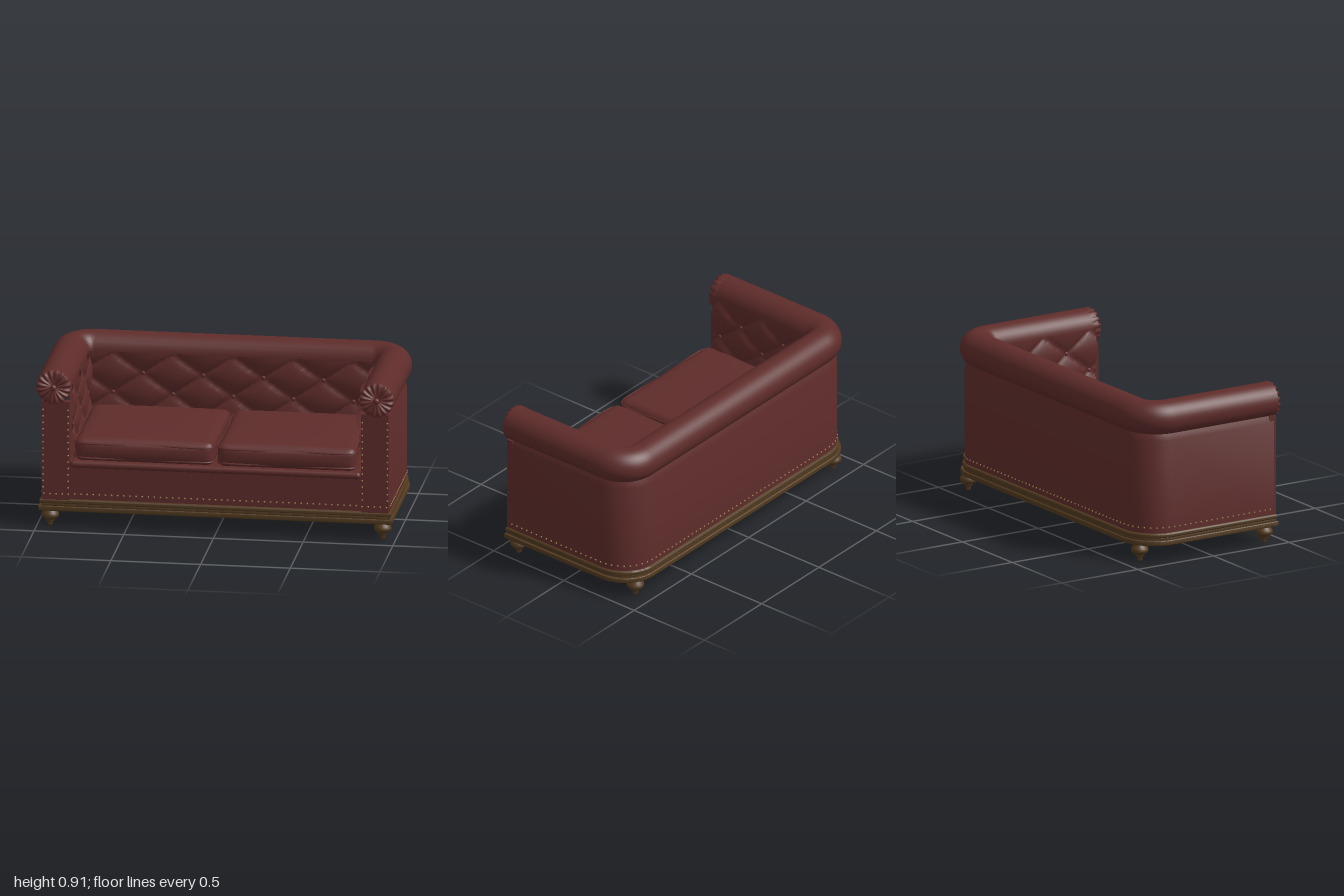
import * as THREE from 'three';
import { mergeGeometries, mergeVertices, toCreasedNormals } from 'three/addons/utils/BufferGeometryUtils.js';

const leather = new THREE.MeshStandardMaterial({ color: 0x5e2c2a });
const leatherOpen = new THREE.MeshStandardMaterial({ color: 0x5e2c2a, side: THREE.DoubleSide });
const wood = new THREE.MeshStandardMaterial({ color: 0x523a20 });
const brass = new THREE.MeshStandardMaterial({ color: 0x917a45 });

// U-shaped plan (arm, back, arm) with rounded back corners; each point carries its outward normal
function uPath(hx, zBack, zFront, r, steps = 12) {
  const pts = [{ x: hx, z: zFront, nx: 1, nz: 0 }];
  for (const side of [0, 1]) {
    for (let i = 0; i <= steps; i++) {
      const a = (side + i / steps) * Math.PI / 2;
      const nx = Math.cos(a), nz = -Math.sin(a);
      pts.push({ x: (side ? -1 : 1) * (hx - r) + r * nx, z: zBack + r + r * nz, nx, nz });
    }
  }
  pts.push({ x: -hx, z: zFront, nx: -1, nz: 0 });
  return pts;
}

// Sweep a closed counter-clockwise profile of [outward, up] along a plan path
function sweep(profile, path) {
  const pos = [], idx = [], n = profile.length;
  for (const p of path) for (const [u, v] of profile) pos.push(p.x + p.nx * u, v, p.z + p.nz * u);
  for (let i = 0; i < path.length - 1; i++) {
    for (let j = 0; j < n; j++) {
      const a = i * n + j, b = i * n + (j + 1) % n, c = a + n, d = b + n;
      idx.push(a, c, b, b, c, d);
    }
  }
  const g = new THREE.BufferGeometry();
  g.setAttribute('position', new THREE.Float32BufferAttribute(pos, 3));
  g.setIndex(idx);
  return toCreasedNormals(g, 0.6);
}

// Move every vertex by a rule, then weld and smooth
function reshape(geo, rule) {
  geo.deleteAttribute('uv');
  geo.deleteAttribute('normal');
  const p = geo.attributes.position, v = new THREE.Vector3();
  for (let i = 0; i < p.count; i++) {
    rule(v.fromBufferAttribute(p, i));
    p.setXYZ(i, v.x, v.y, v.z);
  }
  const g = mergeVertices(geo, 1e-5);
  g.computeVertexNormals();
  return g;
}

// Diamond-tufted panel facing +z, with a button at every crossing
const ROW = 0.115, BUTTON_Y = 0.585;
function tuftedPanel(width, y0, y1, dx, name) {
  const group = new THREE.Group();
  group.name = name;
  const geo = new THREE.PlaneGeometry(width, y1 - y0, Math.round(width * 80), 36);
  geo.translate(0, (y0 + y1) / 2, 0);
  const panel = new THREE.Mesh(reshape(geo, (v) => {
    const a = v.x / dx + (v.y - BUTTON_Y) / (2 * ROW), b = v.x / dx - (v.y - BUTTON_Y) / (2 * ROW);
    v.z += 0.03 * Math.pow(Math.abs(Math.sin(Math.PI * a) * Math.sin(Math.PI * b)), 0.4);
  }), leatherOpen);
  panel.name = 'tufting';
  group.add(panel);
  const buttons = [];
  for (let row = -1; row <= 1; row++) {
    for (let k = -6; k <= 6; k++) {
      const x = (k + (row % 2 ? 0.5 : 0)) * dx;
      if (Math.abs(x) > width / 2 - 0.02) continue;
      buttons.push(new THREE.SphereGeometry(0.012, 10, 6).scale(1, 1, 0.6).translate(x, BUTTON_Y + row * ROW, 0.008));
    }
  }
  const mesh = new THREE.Mesh(mergeGeometries(buttons), leather);
  mesh.name = 'tuftButtons';
  group.add(mesh);
  return group;
}

// Plan outline of the plinth, square in front and rounded behind
function plinthLayer(hx, zFront, zBack, y, h, bevel) {
  const s = new THREE.Shape(), x = hx - bevel, f = -zFront + bevel, b = -zBack - bevel, r = 0.2;
  s.moveTo(-x, f).lineTo(x, f).lineTo(x, b - r);
  s.absarc(x - r, b - r, r, 0, Math.PI / 2).absarc(-x + r, b - r, r, Math.PI / 2, Math.PI);
  s.closePath();
  const hole = new THREE.Path();
  hole.moveTo(-0.79, -0.31).lineTo(-0.79, 0.27).lineTo(0.79, 0.27).lineTo(0.79, -0.31).closePath();
  s.holes.push(hole);
  const g = new THREE.ExtrudeGeometry(s, {
    depth: h - 2 * bevel, bevelThickness: bevel, bevelSize: bevel, bevelSegments: 3, curveSegments: 12,
  });
  return toCreasedNormals(g.translate(0, 0, bevel).rotateX(-Math.PI / 2).translate(0, y, 0), 0.6);
}

// Puffed seat cushion with rounded edges, crowned top and bulging front
function cushionGeometry(w, h, d) {
  const r = 0.035, c = new THREE.Vector3();
  return reshape(new THREE.BoxGeometry(w, h, d, 40, 12, 40), (v) => {
    const u = 2 * v.x / w, t = 2 * v.y / h, s = 2 * v.z / d;
    c.set(w / 2 - r, h / 2 - r, d / 2 - r);
    c.clamp(c.clone(), c.clone());
    const core = new THREE.Vector3(
      THREE.MathUtils.clamp(v.x, -c.x, c.x), THREE.MathUtils.clamp(v.y, -c.y, c.y), THREE.MathUtils.clamp(v.z, -c.z, c.z));
    v.sub(core).setLength(r).add(core);
    if (t > 0) v.y += 0.016 * t * (1 - u ** 4) * (1 - s ** 4);
    if (s > 0) v.z += 0.018 * s * (1 - t * t) * (1 - u ** 4);
  });
}

// Piping cord around a cushion
function pipingGeometry(w, d, y) {
  const a = w / 2, b = d / 2, k = 0.025;
  const pts = [[a, b - k], [a, 0], [a, k - b], [a - k, -b], [0, -b], [k - a, -b], [-a, k - b], [-a, 0], [-a, b - k], [k - a, b], [0, b], [a - k, b]]
    .map(([x, z]) => new THREE.Vector3(x, y, z));
  return new THREE.TubeGeometry(new THREE.CatmullRomCurve3(pts, true, 'centripetal'), 96, 0.006, 6, true);
}

export function createModel() {
  const model = new THREE.Group();
  model.name = 'sofa';
  const add = (name, geo, mat, x = 0, y = 0, z = 0, parent = model) => {
    const m = new THREE.Mesh(geo, mat);
    m.name = name;
    m.position.set(x, y, z);
    parent.add(m);
    return m;
  };

  // Wooden plinth
  add('plinthFoot', plinthLayer(0.985, 0.44, -0.458, 0.1, 0.028, 0.004), wood);
  add('plinthBead', plinthLayer(0.972, 0.432, -0.448, 0.125, 0.02, 0.005), wood);
  add('plinthTop', plinthLayer(0.98, 0.436, -0.454, 0.14, 0.028, 0.011), wood);

  // Turned bun feet
  const footProfile = [[0, 0.004], [0.01, 0.006], [0.016, 0.018], [0.012, 0.029], [0.022, 0.031], [0.026, 0.038], [0.024, 0.044],
    [0.036, 0.048], [0.047, 0.06], [0.049, 0.07], [0.045, 0.084], [0.034, 0.095], [0.03, 0.105]].map(([r, y]) => new THREE.Vector2(r, y - 0.004));
  const footGeo = new THREE.LatheGeometry(footProfile, 24);
  for (const s of [1, -1]) {
    add('frontFoot', footGeo, wood, s * 0.927, 0, 0.382);
    add('backFoot', footGeo, wood, s * 0.86, 0, -0.395);
  }

  // Outer shell of arms and back, with the big roll on top
  add('shell', sweep([[0, 0.16], [0, 0.695], [-0.012, 0.725], [-0.03, 0.78], [-0.16, 0.78], [-0.16, 0.16]], uPath(0.97, -0.44, 0.42, 0.2)), leather);
  const circle = Array.from({ length: 32 }, (_, i) => {
    const a = i / 32 * Math.PI * 2;
    return [0.0975 * Math.cos(a), 0.8125 + 0.0975 * Math.sin(a)];
  });
  add('topRoll', sweep(circle, uPath(0.9025, -0.3675, 0.43, 0.13)), leather);

  // Pleated rosettes and front pillars of the arms
  const rosetteProfile = [[0.09, -0.05], [0.097, -0.04], [0.0985, -0.01], [0.096, 0.008], [0.085, 0.018], [0.06, 0.02], [0.03, 0.014], [0, 0.012]];
  const rosette = reshape(new THREE.LatheGeometry(rosetteProfile.map(([r, y]) => new THREE.Vector2(r, y)), 96), (v) => {
    const r = Math.hypot(v.x, v.z);
    const fold = 1 - Math.abs(Math.sin(8 * Math.atan2(v.z, v.x)));
    if (r > 0.02 && v.y > -0.03) {
      v.y -= 0.014 * fold;
      v.x *= 1 - 0.05 * fold;
      v.z *= 1 - 0.05 * fold;
    }
  }).rotateX(Math.PI / 2);
  for (const s of [1, -1]) {
    add('armRosette', rosette, leather, s * 0.9, 0.8125, 0.436);
    add('rosetteButton', new THREE.SphereGeometry(0.018, 16, 10).scale(1, 1, 0.8), leather, s * 0.9, 0.8125, 0.45);
    add('armPillar', new THREE.BoxGeometry(0.155, 0.57, 0.04), leather, s * 0.89, 0.445, 0.413);
  }

  // Seat deck, front rail and its piped lip
  add('seatDeck', new THREE.BoxGeometry(1.64, 0.235, 0.72), leather, 0, 0.2675, 0.06);
  add('railLip', new THREE.CapsuleGeometry(0.02, 1.58, 6, 16).rotateZ(Math.PI / 2), leather, 0, 0.37, 0.417);

  // Tufted inner faces
  const back = tuftedPanel(1.62, 0.38, 0.82, 0.335, 'tuftedBack');
  back.position.z = -0.278;
  model.add(back);
  for (const s of [1, -1]) {
    const arm = tuftedPanel(0.68, 0.38, 0.82, 0.3, 'tuftedArm');
    arm.position.set(s * 0.811, 0, 0.065);
    arm.rotation.y = -s * Math.PI / 2;
    model.add(arm);
  }

  // Two seat cushions
  const cushion = cushionGeometry(0.77, 0.13, 0.69);
  const piping = mergeGeometries([-0.042, 0.042].map((y) => pipingGeometry(0.765, 0.69, y)));
  for (const s of [1, -1]) {
    const g = new THREE.Group();
    g.name = 'seatCushion';
    g.position.set(s * 0.397, 0.457, 0.091);
    add('cushionBody', cushion, leather, 0, 0, 0, g);
    add('cushionPiping', piping, leather, 0, 0, 0, g);
    model.add(g);
  }

  // Brass nail heads: around the base, along the rail and up the pillars
  const nails = [];
  const nail = (x, y, z) => nails.push(new THREE.SphereGeometry(0.0055, 6, 4).translate(x, y, z));
  const outline = new THREE.Path().setFromPoints(uPath(0.971, -0.441, 0.395, 0.2).map((p) => new THREE.Vector2(p.x, p.z)));
  for (const p of outline.getSpacedPoints(98)) nail(p.x, 0.198, p.y);
  for (let i = 0; i <= 56; i++) {
    const x = -0.955 + i * 1.91 / 56;
    nail(x, 0.198, Math.abs(x) > 0.812 ? 0.434 : 0.421);
  }
  for (const x of [-0.96, -0.82, 0.82, 0.96]) for (let i = 1; i <= 13; i++) nail(x, 0.198 + i * 0.0372, 0.434);
  add('nailHeads', mergeGeometries(nails), brass);

  return model;
}
